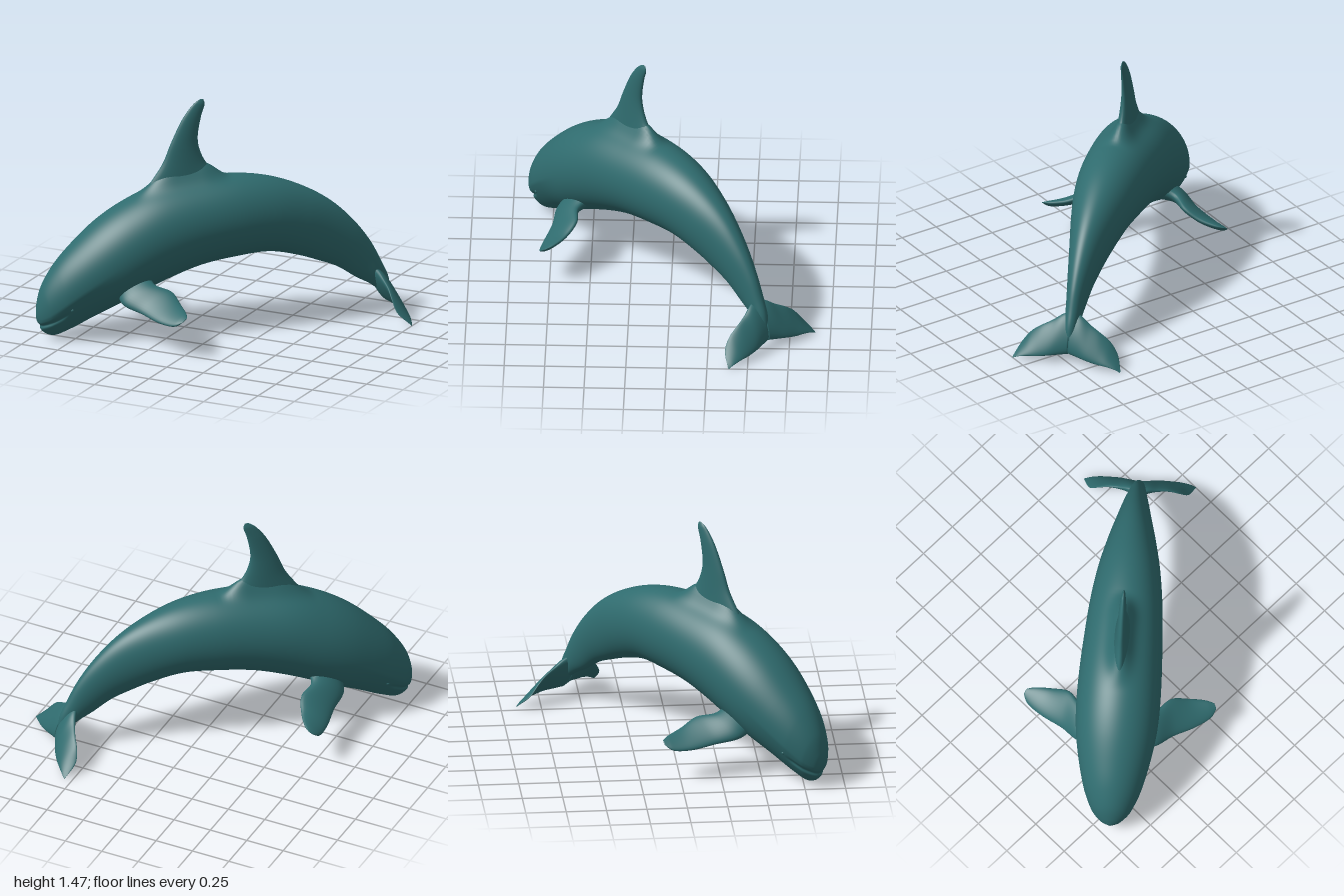
import * as THREE from 'three';

const V = (x, y, z = 0) => new THREE.Vector3(x, y, z);
const ramp = THREE.MathUtils.smoothstep;
const skin = new THREE.MeshStandardMaterial({ color: 0x2f6b6e });

// Smooth surface point from sections [edgeA, edgeB, halfThickness]; "side" is the thickness direction.
function surface(sections, side) {
  const a = new THREE.CatmullRomCurve3(sections.map(s => s[0]));
  const b = new THREE.CatmullRomCurve3(sections.map(s => s[1]));
  const w = new THREE.CatmullRomCurve3(sections.map((s, i) => V(s[2], i * 0.1)));
  const n = side.clone().normalize();
  return (t, angle) => {
    const A = a.getPoint(t), B = b.getPoint(t);
    const mid = A.clone().add(B).multiplyScalar(0.5);
    const half = A.sub(B).multiplyScalar(0.5);
    return mid.addScaledVector(half, Math.cos(angle))
      .addScaledVector(n, Math.max(w.getPoint(t).x, 0.0005) * Math.sin(angle));
  };
}

// Closed skin over a surface function.
function loft(name, fn, rows, cols) {
  const pos = [], idx = [];
  for (let i = 0; i <= rows; i++)
    for (let j = 0; j < cols; j++) pos.push(...fn(i / rows, j / cols * Math.PI * 2).toArray());
  for (let i = 0; i < rows; i++)
    for (let j = 0; j < cols; j++) {
      const k = (j + 1) % cols, p = i * cols, q = p + cols;
      idx.push(p + j, q + j, q + k, p + j, q + k, p + k);
    }
  for (const end of [0, 1]) {
    const c = pos.length / 3, base = end * rows * cols;
    pos.push(...fn(end, 0).add(fn(end, Math.PI)).multiplyScalar(0.5).toArray());
    for (let j = 0; j < cols; j++) {
      const k = (j + 1) % cols;
      if (end) idx.push(c, base + k, base + j);
      else idx.push(c, base + j, base + k);
    }
  }
  const g = new THREE.BufferGeometry();
  g.setAttribute('position', new THREE.Float32BufferAttribute(pos, 3));
  g.setIndex(idx);
  g.computeVertexNormals();
  const m = new THREE.Mesh(g, skin);
  m.name = name;
  return m;
}

export function createModel() {
  const animal = new THREE.Group();
  animal.name = 'leapingWhale';

  // Arched body: back point, belly point, half width, from snout to tail
  const tube = surface([
    [V(-1.295, 0.16), V(-1.29, 0.12), 0.012],
    [V(-1.288, 0.23), V(-1.255, 0.05), 0.06],
    [V(-1.258, 0.335), V(-1.19, 0.02), 0.115],
    [V(-1.175, 0.47), V(-1.08, 0.055), 0.17],
    [V(-1.055, 0.60), V(-0.93, 0.13), 0.213],
    [V(-0.90, 0.735), V(-0.78, 0.20), 0.245],
    [V(-0.74, 0.835), V(-0.64, 0.265), 0.258],
    [V(-0.55, 0.915), V(-0.45, 0.345), 0.256],
    [V(-0.30, 0.955), V(-0.25, 0.41), 0.243],
    [V(-0.02, 0.965), V(-0.02, 0.445), 0.222],
    [V(0.22, 0.925), V(0.18, 0.455), 0.19],
    [V(0.44, 0.835), V(0.36, 0.415), 0.148],
    [V(0.60, 0.73), V(0.50, 0.365), 0.112],
    [V(0.74, 0.59), V(0.62, 0.315), 0.083],
    [V(0.84, 0.45), V(0.74, 0.235), 0.06],
    [V(0.90, 0.33), V(0.82, 0.19), 0.048],
    [V(0.945, 0.23), V(0.89, 0.14), 0.035],
    [V(0.965, 0.12), V(0.95, 0.10), 0.01],
  ], V(0, 0, -1));
  const bodyFn = (t, a) => {
    const p = tube(t, a), up = Math.cos(a);
    // Jaw narrower than the brow
    p.z *= 1 + 0.28 * ramp(-p.x, 0.75, 1.15) * Math.min(0, up);
    // Ridge that runs up into the back fin
    const ridge = ramp(p.x, -0.68, -0.42) * (1 - ramp(p.x, -0.24, -0.06));
    if (up > 0) p.y += 0.1 * ridge * Math.exp(-((p.z / 0.06) ** 2));
    // Mouth groove
    const d = (p.y - 0.085 - (p.x + 1.28) * 0.65) / 0.014;
    const s = 0.01 * ramp(-p.x, 1.1, 1.17) * Math.exp(-d * d);
    p.x += s * 0.8;
    p.z -= Math.sign(p.z) * Math.min(s, Math.abs(p.z));
    return p;
  };
  animal.add(loft('body', bodyFn, 200, 120));

  // Tall swept fin on the back: leading edge, trailing edge, half thickness
  animal.add(loft('dorsalFin', surface([
    [V(-0.63, 0.84), V(-0.08, 0.88), 0.06],
    [V(-0.575, 0.94), V(-0.14, 0.985), 0.05],
    [V(-0.49, 1.07), V(-0.22, 1.07), 0.04],
    [V(-0.436, 1.20), V(-0.265, 1.20), 0.03],
    [V(-0.357, 1.36), V(-0.245, 1.36), 0.021],
    [V(-0.29, 1.445), V(-0.222, 1.44), 0.012],
    [V(-0.255, 1.47), V(-0.23, 1.47), 0.002],
  ], V(0, 0, -1)), 48, 32));

  // Flippers, tail flukes and eyes, mirrored
  const flipperFn = surface([
    [V(-0.81, 0.29, 0.12), V(-0.60, 0.40, 0.12), 0.07],
    [V(-0.80, 0.255, 0.23), V(-0.595, 0.365, 0.23), 0.045],
    [V(-0.711, 0.225, 0.345), V(-0.51, 0.34, 0.315), 0.033],
    [V(-0.63, 0.20, 0.48), V(-0.482, 0.29, 0.42), 0.026],
    [V(-0.56, 0.205, 0.57), V(-0.475, 0.265, 0.53), 0.017],
    [V(-0.515, 0.235, 0.595), V(-0.485, 0.255, 0.58), 0.003],
  ], V(-0.38, 0.85, 0.37));
  const flukeFn = surface([
    [V(0.84, 0.30, 0), V(0.965, 0.06, 0), 0.045],
    [V(0.865, 0.28, 0.06), V(0.985, 0.055, 0.06), 0.036],
    [V(0.885, 0.24, 0.12), V(1.005, 0.05, 0.12), 0.026],
    [V(0.90, 0.20, 0.19), V(1.015, 0.04, 0.19), 0.019],
    [V(0.905, 0.155, 0.25), V(1.018, 0.035, 0.25), 0.014],
    [V(0.925, 0.085, 0.305), V(1.015, 0.02, 0.31), 0.009],
    [V(1.0, 0.012, 0.345), V(1.01, 0.002, 0.345), 0.001],
  ], V(0.93, 0.37, 0));
  for (const [side, s] of [['left', 1], ['right', -1]]) {
    const flipper = loft(side + 'Flipper', flipperFn, 40, 32);
    const fluke = loft(side + 'Fluke', flukeFn, 40, 32);
    flipper.scale.z = fluke.scale.z = s;
    const eye = new THREE.Mesh(new THREE.SphereGeometry(0.012, 16, 12), skin);
    eye.name = side + 'Eye';
    eye.position.copy(bodyFn(3.1 / 17, -Math.PI * 0.58));
    eye.position.z *= s * 0.96;
    animal.add(flipper, fluke, eye);
  }

  // Swimming direction runs diagonally
  animal.rotation.y = 0.713;
  animal.position.set(0.013, 0, 0.015);
  const model = new THREE.Group();
  model.add(animal);
  return model;
}
